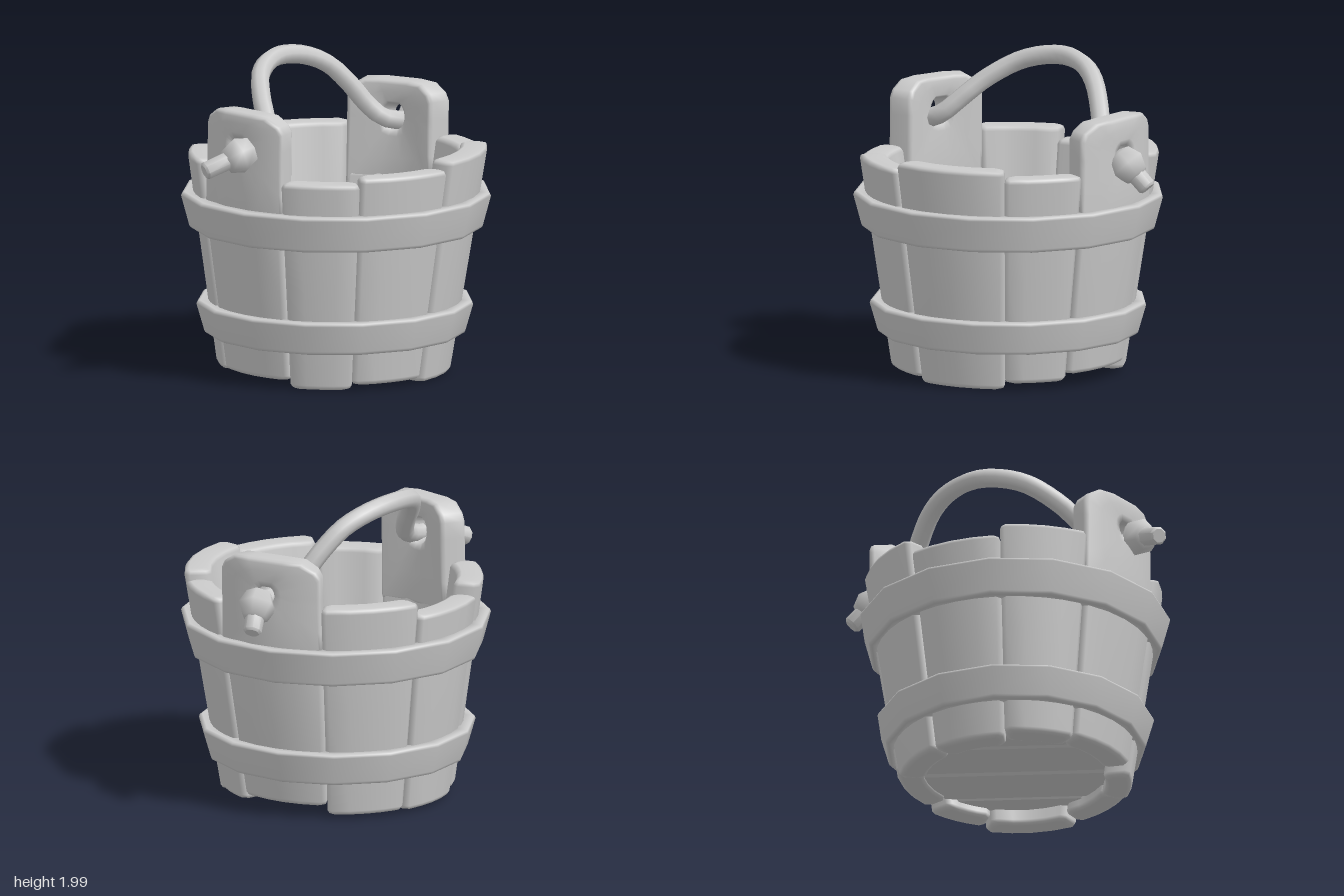
import * as THREE from 'three';
import { toCreasedNormals } from 'three/addons/utils/BufferGeometryUtils.js';

const material = new THREE.MeshStandardMaterial({ color: 0xcccccc });
const WALL = 0.17;        // stave thickness
const BEVEL = 0.03;
const rad = THREE.MathUtils.degToRad;
const outerRadius = y => Math.min(0.724 + 0.152 * y, 0.936);
const axisX = y => 0.017 + 0.016 * y;   // the bucket leans very slightly
const polar = (r, a, y) => [axisX(y) + r * Math.cos(a), y, r * Math.sin(a)];

function addMesh(parent, name, geometry) {
  const mesh = new THREE.Mesh(geometry, material);
  mesh.name = name;
  parent.add(mesh);
  return mesh;
}

// Skin closed cross-sections; capped at both ends, or joined into a ring
function loft(rows, capped) {
  const n = rows[0].length, m = rows.length, index = [];
  const quad = (a, b, c, d) => index.push(a, b, c, a, c, d);
  for (let i = 0; i < (capped ? m - 1 : m); i++) {
    const k = (i + 1) % m;
    for (let j = 0; j < n; j++) {
      const l = (j + 1) % n;
      quad(i * n + j, k * n + j, k * n + l, i * n + l);
    }
  }
  if (capped) {
    const t = (m - 1) * n;
    for (let j = 0; j < n / 2 - 1; j++) {
      quad(j, j + 1, n - 2 - j, n - 1 - j);
      quad(t + j, t + n - 1 - j, t + n - 2 - j, t + j + 1);
    }
  }
  const g = new THREE.BufferGeometry();
  g.setAttribute('position', new THREE.Float32BufferAttribute(rows.flat(2), 3));
  g.setIndex(index);
  g.computeVertexNormals();
  return g;
}

// Curved board between two angles, rounded on every edge
function staveGeometry(a0, a1, y0, y1) {
  const S = 4;
  const section = (y, inset) => {
    const R = outerRadius(y) - inset, r = outerRadius(y) - WALL + inset;
    const side = 0.001 + inset, pts = [];
    const at = (rr, t, gap) => polar(rr, a0 + gap / rr + t * (a1 - a0 - 2 * gap / rr), y);
    pts.push(at(R - BEVEL, 0, side));
    for (let k = 0; k <= S; k++) pts.push(at(R, k / S, side + BEVEL));
    pts.push(at(R - BEVEL, 1, side), at(r + BEVEL, 1, side));
    for (let k = S; k >= 0; k--) pts.push(at(r, k / S, side + BEVEL));
    pts.push(at(r + BEVEL, 0, side));
    return pts;
  };
  const h = BEVEL;
  return loft([
    section(y0, h), section(y0 + h * 0.3, h * 0.3), section(y0 + h, 0),
    section((y0 + y1) / 2, 0),
    section(y1 - h, 0), section(y1 - h * 0.3, h * 0.3), section(y1, h),
  ], true);
}

// Tall upright ear, bent to the bucket's curve, with a hole narrowing outwards
function earGeometry(a0, a1, top, holeY, R) {
  const hole = 0.095, mid = (a0 + a1) / 2;
  const w = (a1 - a0) / 2 * R;
  const half = [
    [w * 0.35, 1.05], [w, 1.05], [w, 1.25], [w, 1.42], [w, holeY], [w, top - 0.11],
    [w - 0.03, top - 0.06], [w - 0.12, top - 0.008], [w * 0.35, top],
  ];
  const outline = [...half, ...half.slice().reverse().map(([u, y]) => [-u, y])];
  const rows = outline.map(([u, y]) => {
    const len = Math.hypot(u, y - holeY);
    // s runs from the outline (0) to the hole's rim (1)
    const at = (s, d) => {
      const k = 1 - s * (1 - hole / len);
      return polar(R - WALL + d, mid + u * k / R, holeY + (y - holeY) * k);
    };
    const b = BEVEL / (len - hole), narrow = 1 + 0.035 / (len - hole);
    return [
      at(b, WALL), at(b * 0.3, WALL - BEVEL * 0.3), at(0, WALL - BEVEL),
      at(0, BEVEL), at(b * 0.3, BEVEL * 0.3), at(b, 0),
      at(0.5, 0), at(0.9, 0), at(1, 0.015), at(narrow, WALL - 0.015), at(0.95, WALL), at(0.5, WALL),
    ];
  });
  return loft(rows, false);
}

// Fifteen-sided flared band with rounded edges
function hoopGeometry(y0, y1, r0, r1, cx) {
  const c = 0.022, inner = r0 - 0.1;
  const profile = [
    [inner, y1], [r1 - c, y1], [r1 - c * 0.3, y1 - c * 0.3], [r1, y1 - c],
    [r0, y0 + c], [r0 - c * 0.3, y0 + c * 0.3], [r0 - c, y0], [inner, y0],
  ];
  const rows = [];
  for (let i = 0; i < 15; i++) {
    const a = i / 15 * Math.PI * 2;
    rows.push(profile.map(([r, y]) => [cx + r * Math.cos(a), y, r * Math.sin(a)]));
  }
  return loft(rows, false);
}

// Floor board: slice of a disc between two parallel lines
function plankGeometry(p0, p1) {
  const R = 0.62, pts = [], N = 8;
  for (let k = 0; k <= N; k++) {
    const p = p0 + (p1 - p0) * k / N;
    pts.push(new THREE.Vector2(p, -Math.sqrt(R * R - p * p)));
  }
  const upper = pts.slice().reverse().map(v => new THREE.Vector2(v.x, -v.y));
  const g = new THREE.ExtrudeGeometry(new THREE.Shape([...pts, ...upper]), {
    depth: 0.05, bevelThickness: 0.02, bevelSize: 0.025, bevelOffset: -0.025, bevelSegments: 1,
  });
  return g.rotateX(-Math.PI / 2).rotateY(rad(-30)).translate(axisX(0.15), 0.13, 0);
}

// Knot and peg on the outside of an ear
function addPeg(parent, from, to) {
  const a = new THREE.Vector3(...from), b = new THREE.Vector3(...to);
  const dir = b.clone().sub(a), length = dir.length();
  const peg = new THREE.Group();
  peg.name = 'handlePeg';
  addMesh(peg, 'knot', new THREE.SphereGeometry(0.12, 6, 4));
  const c = 0.014;
  const profile = [[0.062, 0], [0.059, length - c], [0.059 - c, length], [0, length]]
    .map(p => new THREE.Vector2(...p));
  addMesh(peg, 'pegShaft', toCreasedNormals(new THREE.LatheGeometry(profile, 8), 0.8));
  peg.position.copy(a);
  peg.quaternion.setFromUnitVectors(new THREE.Vector3(0, 1, 0), dir.normalize());
  parent.add(peg);
}

export function createModel() {
  const bucket = new THREE.Group();
  bucket.name = 'woodenBucket';

  // Staves: start angle, end angle, bottom, top
  const staves = new THREE.Group();
  staves.name = 'staves';
  bucket.add(staves);
  [
    [-21, 11, 0.05, 1.39], [11, 59, 0.01, 1.44], [59, 98.5, 0.04, 1.39],
    [98.5, 130.5, 0.01, 1.35], [176, 212, 0.05, 1.40], [212, 251.5, 0.02, 1.33],
    [251.5, 292, 0.03, 1.42],
  ].forEach(([a0, a1, y0, y1]) => addMesh(staves, 'stave', staveGeometry(rad(a0), rad(a1), y0, y1)));

  // Two opposite staves that rise into ears: angles, bottom, top, hole height, ear radius
  [
    [130.5, 176, 0.06, 1.755, 1.54, 0.885], [292, 339, 0.09, 1.71, 1.48, 0.9],
  ].forEach(([a0, a1, y0, top, holeY, r]) => {
    addMesh(staves, 'earStave', staveGeometry(rad(a0), rad(a1), y0, 1.12));
    addMesh(staves, 'ear', earGeometry(rad(a0), rad(a1), top, holeY, r));
  });

  // Hoops
  addMesh(bucket, 'upperHoop', hoopGeometry(0.92, 1.15, 0.922, 0.972, 0.03));
  addMesh(bucket, 'lowerHoop', hoopGeometry(0.25, 0.46, 0.82, 0.868, 0.022));

  // Floor
  const cuts = [-0.61, -0.36, 0.03, 0.41, 0.61];
  for (let i = 0; i < 4; i++) addMesh(bucket, 'floorPlank', plankGeometry(cuts[i], cuts[i + 1]));

  // Handle, leaning to the back and threaded through both ears
  const path = new THREE.CatmullRomCurve3([
    [-0.76, 1.5, 0.48], [-0.63, 1.49, 0.42], [-0.53, 1.53, 0.34], [-0.49, 1.65, 0.2],
    [-0.475, 1.76, 0.06], [-0.41, 1.885, -0.16], [-0.24, 1.94, -0.37], [-0.03, 1.915, -0.48],
    [0.14, 1.84, -0.52], [0.28, 1.71, -0.53], [0.4, 1.565, -0.525], [0.5, 1.48, -0.515],
    [0.61, 1.45, -0.54], [0.74, 1.42, -0.65],
  ].map(p => new THREE.Vector3(...p)));
  addMesh(bucket, 'handle', new THREE.TubeGeometry(path, 36, 0.06, 8));
  addPeg(bucket, [-0.755, 1.5, 0.48], [-0.99, 1.415, 0.5]);
  addPeg(bucket, [0.735, 1.42, -0.64], [0.805, 1.28, -0.755]);

  return bucket;
}
